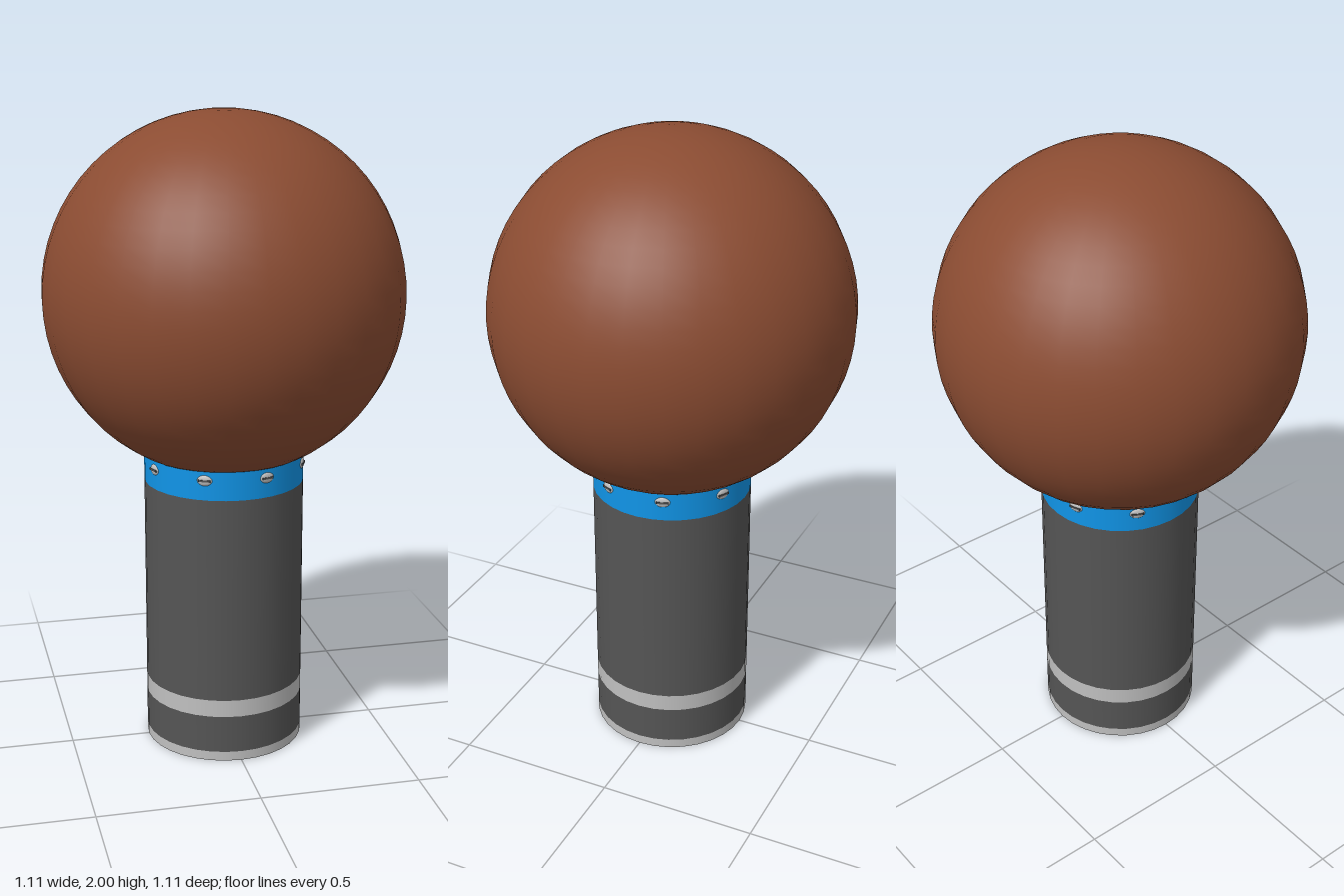
import * as THREE from 'three';

const mat = (name, color, side = THREE.FrontSide) => {
  const m = new THREE.MeshStandardMaterial({ color, side });
  m.name = name;
  return m;
};

export function createModel() {
  const model = new THREE.Group();
  model.name = 'ballOnTube';
  const brown = mat('brown', 0x8b4c32);
  const charcoal = mat('charcoal', 0x555555, THREE.DoubleSide);
  const silver = mat('silver', 0xc0c0c0, THREE.DoubleSide);
  const blue = mat('blue', 0x1199ee, THREE.DoubleSide);
  const R = 0.25;

  const add = (parent, name, geometry, material, x = 0, y = 0, z = 0) => {
    const mesh = new THREE.Mesh(geometry, material);
    mesh.name = name;
    mesh.position.set(x, y, z);
    parent.add(mesh);
    return mesh;
  };

  // Large ball resting in the collar
  add(model, 'ball', new THREE.SphereGeometry(0.555, 32, 32), brown, 0, 1.445, 0);

  // Hollow tube, open at the bottom, stacked from coloured bands
  const bands = [
    ['bottomRim', 0, 0.03, silver],
    ['lowerTube', 0.03, 0.15, charcoal],
    ['stripe', 0.15, 0.205, silver],
    ['tube', 0.205, 0.86, charcoal],
    ['collar', 0.86, 0.95, blue],
  ];
  for (const [name, y0, y1, material] of bands) {
    const wall = new THREE.CylinderGeometry(R, R, y1 - y0, 32, 1, true);
    add(model, name, wall, material, 0, (y0 + y1) / 2, 0);
  }

  // Eight small slotted screws around the collar
  const headGeometry = new THREE.SphereGeometry(1, 12, 8).scale(0.024, 0.017, 0.007);
  const slotGeometry = new THREE.BoxGeometry(0.038, 0.006, 0.004);
  for (let i = 0; i < 8; i++) {
    const screw = new THREE.Group();
    screw.name = 'screw';
    screw.rotation.y = THREE.MathUtils.degToRad(18.7 + i * 45);
    add(screw, 'screwHead', headGeometry, silver, 0, 0.922, R - 0.002);
    add(screw, 'screwSlot', slotGeometry, charcoal, 0, 0.922, R + 0.004);
    model.add(screw);
  }
  return model;
}
